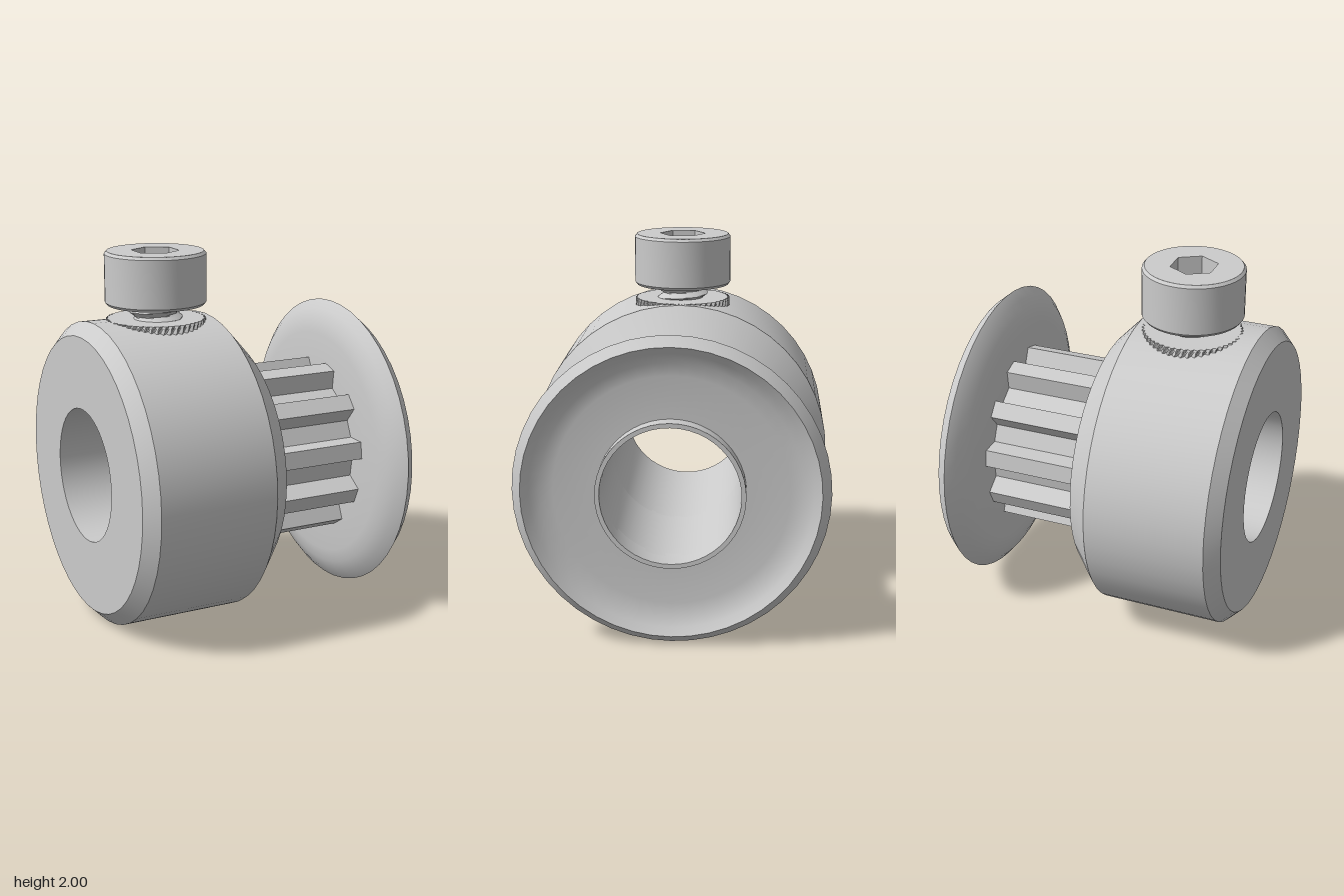
import * as THREE from 'three';
import { toCreasedNormals } from 'three/addons/utils/BufferGeometryUtils.js';

const AXIS_Y = 0.82, BORE = 0.362, SIDES = 48;
const SCREW_X = -0.37;

const material = new THREE.MeshStandardMaterial({ color: 0xcccccc });

function part(name, geometry, parent) {
  const mesh = new THREE.Mesh(toCreasedNormals(geometry, 0.4), material);
  mesh.name = name;
  parent.add(mesh);
  return mesh;
}

// Lathe from [radius, height] pairs
const lathe = (pairs, sides = SIDES) =>
  new THREE.LatheGeometry(pairs.map(([r, h]) => new THREE.Vector2(r, h)), sides);

// Lathe turned so that its axis runs along x
const latheX = (pairs) => lathe(pairs).rotateZ(-Math.PI / 2);

// Unit cylinder whose radius follows a rule of angle and height
function ruledCylinder(y0, y1, sides, rows, radiusAt) {
  const g = new THREE.CylinderGeometry(1, 1, y1 - y0, sides, rows);
  g.translate(0, (y0 + y1) / 2, 0);
  const p = g.attributes.position;
  for (let i = 0; i < p.count; i++) {
    const x = p.getX(i), y = p.getY(i), z = p.getZ(i);
    const r = radiusAt(Math.atan2(z, x), y);
    p.setXYZ(i, x * r, y, z * r);
  }
  return g;
}

function toothedBarrel() {
  const teeth = 11, tip = 0.49, root = 0.39, step = (Math.PI * 2) / teeth;
  const tipHalf = THREE.MathUtils.degToRad(5.5), rootHalf = THREE.MathUtils.degToRad(9.3);
  const points = [];
  for (let i = 0; i < teeth; i++) {
    const mid = -Math.PI / 2 + i * step;
    const corners = [[root, -rootHalf], [tip, -tipHalf], [tip, tipHalf], [root, rootHalf]];
    for (const [r, d] of corners)
      points.push(new THREE.Vector2(r * Math.cos(mid + d), r * Math.sin(mid + d)));
  }
  const shape = new THREE.Shape(points);
  shape.holes.push(new THREE.Path().absarc(0, 0, BORE, 0, Math.PI * 2, true));
  return new THREE.ExtrudeGeometry(shape, { depth: 0.64, bevelEnabled: false, curveSegments: SIDES / 2 })
    .rotateY(Math.PI / 2).translate(0.04, 0, 0);
}

function makePulley() {
  const pulley = new THREE.Group();
  pulley.name = 'pulley';
  pulley.position.y = AXIS_Y;

  part('hub', latheX([
    [BORE, -0.8], [0.75, -0.8], [0.82, -0.73], [0.82, -0.08],
    [0.67, 0.06], [BORE, 0.06], [BORE, -0.8],
  ]), pulley);

  part('toothedBarrel', toothedBarrel(), pulley);

  // Dished flange with a short collar around the bore
  part('flange', latheX([
    [BORE, 0.64], [0.64, 0.64], [0.71, 0.654], [0.77, 0.68], [0.82, 0.72],
    [0.77, 0.78], [0.73, 0.748], [0.68, 0.722], [0.61, 0.71],
    [0.386, 0.71], [0.386, 0.796], [BORE, 0.796], [BORE, 0.64],
  ]), pulley);
  return pulley;
}

function makeScrew() {
  const screw = new THREE.Group();
  screw.name = 'clampScrew';
  screw.position.x = SCREW_X;

  // Head wall and underside, open at the top
  part('headBody', lathe([
    [0, 1.715], [0.258, 1.715], [0.27, 1.73], [0.27, 1.985], [0.257, 2],
  ]), screw);

  // Head top with hexagonal socket
  const top = new THREE.Shape().absarc(0, 0, 0.257, 0, Math.PI * 2, false);
  const hex = [];
  for (let i = 0; i < 6; i++) {
    const a = Math.PI / 2 - (i * Math.PI) / 3;
    hex.push(new THREE.Vector2(0.127 * Math.cos(a), 0.127 * Math.sin(a)));
  }
  top.holes.push(new THREE.Path(hex));
  part('headSocket', new THREE.ExtrudeGeometry(top, { depth: 0.14, bevelEnabled: false, curveSegments: SIDES })
    .rotateX(-Math.PI / 2).translate(0, 1.86, 0), screw);
  part('socketFloor', new THREE.CircleGeometry(0.14, 24).rotateX(-Math.PI / 2).translate(0, 1.861, 0), screw);

  // Threaded shank, with a tapered tip inside the bore
  const pitch = 0.055;
  part('threadedShank', ruledCylinder(1.14, 1.73, 32, 86, (a, y) => {
    const turn = y / pitch + a / (Math.PI * 2);
    const ridge = Math.abs((turn - Math.floor(turn)) * 2 - 1);
    return Math.min(0.11 + 0.035 * ridge, 0.1 + (y - 1.14));
  }), screw);

  // Knurled seat standing just proud of the hub
  const ridges = 48;
  part('knurledSeat', ruledCylinder(1.52, 1.64, ridges * 4, 8, (a, y) =>
    0.26 + 0.007 * Math.cos(a * ridges + y * 70)), screw);
  return screw;
}

export function createModel() {
  const model = new THREE.Group();
  model.name = 'timingPulley';
  model.add(makePulley(), makeScrew());
  return model;
}
